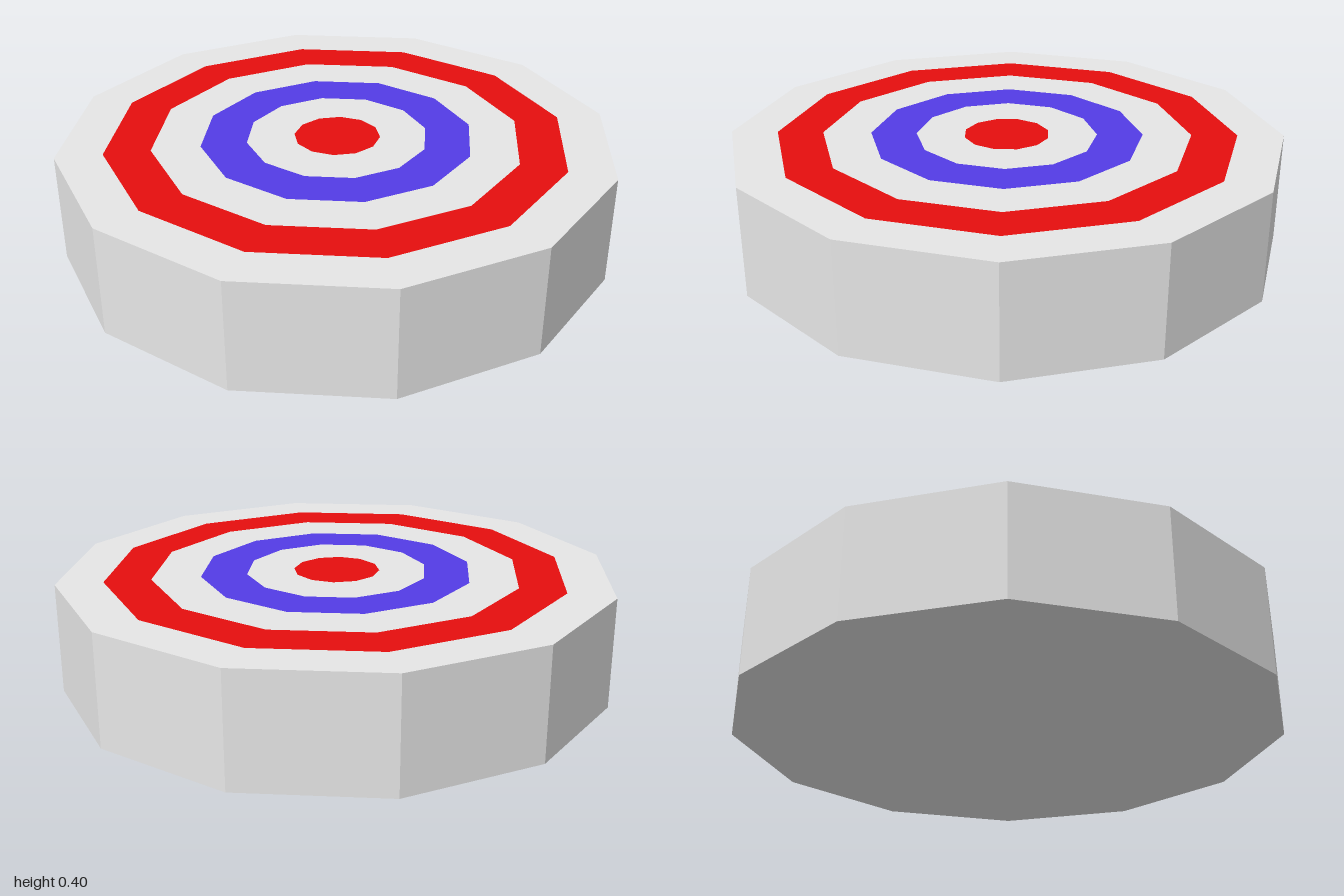
import * as THREE from 'three';

const SIDES = 12;
const HEIGHT = 0.4;

const mats = {
  lightGrey: new THREE.MeshStandardMaterial({ color: 0xe6e6e6 }),
  red: new THREE.MeshStandardMaterial({ color: 0xe60e0e }),
  blue: new THREE.MeshStandardMaterial({ color: 0x533ce6 }),
};

// Corners of a regular twelve-sided outline, turned by an angle
function outline(radius, turn = 0) {
  return Array.from({ length: SIDES }, (_, i) => {
    const a = turn + (i / SIDES) * Math.PI * 2;
    return new THREE.Vector2(radius * Math.cos(a), radius * Math.sin(a));
  });
}

// Flat upward-facing band, with an optional hole
function band(outer, inner) {
  const shape = new THREE.Shape(outer);
  if (inner) shape.holes.push(new THREE.Path(inner));
  return new THREE.ShapeGeometry(shape).rotateX(-Math.PI / 2);
}

export function createModel() {
  const group = new THREE.Group();
  const add = (name, geometry, material, y) => {
    const mesh = new THREE.Mesh(geometry, material);
    mesh.name = name;
    mesh.position.y = y;
    group.add(mesh);
  };

  // Faceted rim wall and underside
  const wall = new THREE.CylinderGeometry(1, 1, HEIGHT, SIDES, 1, true).toNonIndexed();
  wall.computeVertexNormals();
  add('rimWall', wall, mats.lightGrey, HEIGHT / 2);
  add('underside', band(outline(1)).rotateX(Math.PI), mats.lightGrey, 0);

  // Concentric target bands, flush with one another; the bullseye is turned half a side
  const rings = [
    outline(1), outline(0.833), outline(0.667), outline(0.492), outline(0.327),
    outline(0.155, Math.PI / SIDES),
  ];
  const bands = [
    ['outerBand', mats.lightGrey],
    ['redBand', mats.red],
    ['middleBand', mats.lightGrey],
    ['blueBand', mats.blue],
    ['innerBand', mats.lightGrey],
    ['bullseye', mats.red],
  ];
  bands.forEach(([name, material], i) => add(name, band(rings[i], rings[i + 1]), material, HEIGHT));

  return group;
}
